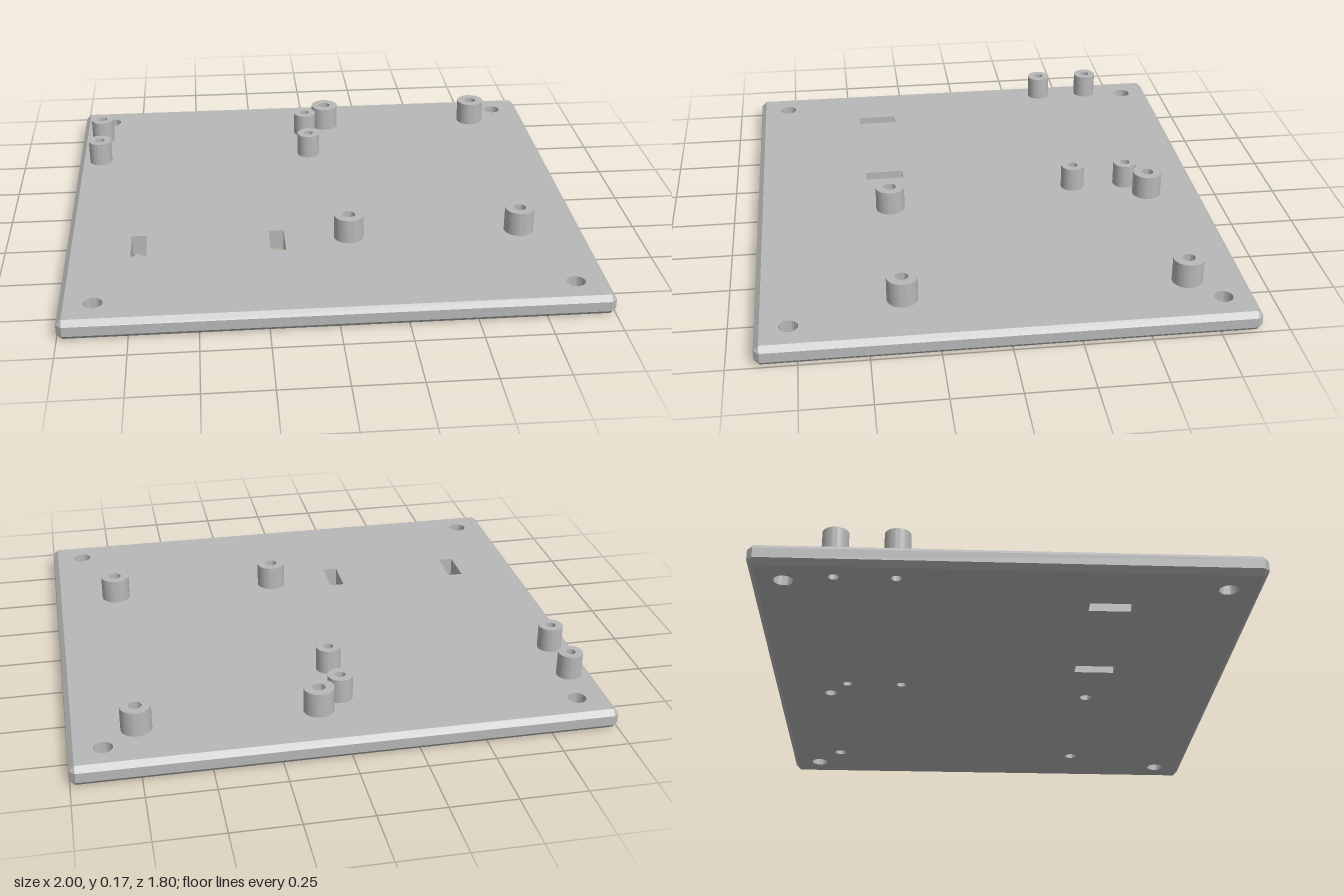
import * as THREE from 'three';
import { toCreasedNormals } from 'three/addons/utils/BufferGeometryUtils.js';

const W = 1, D = 0.9, T = 0.078, C = 0.02, TOP = 0.174, SEG = 48;

// x, z, bore radius, outer radius (0 = plain hole)
const holes = [];
for (const x of [-0.875, 0.875]) for (const z of [-0.783, 0.778]) holes.push([x, z, 0.035, 0]);
for (const x of [0.083, 0.75]) for (const z of [-0.68, 0.37]) holes.push([x, z, 0.024, 0.057]);
for (const x of [-0.907, -0.012]) for (const z of [-0.607, -0.389]) holes.push([x, z, 0.019, 0.047]);

// x0, x1, z0, z1
const slots = [[-0.753, -0.694, 0.3, 0.455], [-0.223, -0.165, 0.3, 0.455]];

// Rectangle loop with cut corners at height y, counter-clockwise from above
function loop(hx, hz, cut, y, cx = 0, cz = 0) {
  const a = hx - cut, b = hz - cut;
  return [[hx, b], [hx, -b], [a, -hz], [-a, -hz], [-hx, -b], [-hx, b], [-a, hz], [a, hz]]
    .map(([x, z]) => new THREE.Vector3(cx + x, y, cz + z));
}

// Flat-faced skin between successive loops
function skin(loops) {
  const pts = [];
  for (let k = 0; k < loops.length - 1; k++) {
    const p = loops[k], q = loops[k + 1];
    for (let i = 0; i < p.length; i++) {
      const j = (i + 1) % p.length;
      for (const [a, b, c] of [[p[i], p[j], q[j]], [p[i], q[j], q[i]]]) {
        if (a.equals(b) || b.equals(c) || a.equals(c)) continue;
        pts.push(a, b, c);
      }
    }
  }
  const g = new THREE.BufferGeometry().setFromPoints(pts);
  g.computeVertexNormals();
  return g;
}

// Plate face with every opening cut; s flips z for the upper side
function face(s) {
  const rect = (x0, x1, y0, y1) => [[x0, y0], [x1, y0], [x1, y1], [x0, y1]].map(([x, y]) => new THREE.Vector2(x, y));
  const shape = new THREE.Shape(rect(C - W, W - C, C - D, D - C));
  for (const [x, z, r] of holes) {
    const circle = Array.from({ length: SEG }, (_, i) => {
      const t = (i / SEG) * Math.PI * 2;
      return new THREE.Vector2(x + r * Math.sin(t), s * (z + r * Math.cos(t)));
    });
    shape.holes.push(new THREE.Path(circle));
  }
  for (const [x0, x1, z0, z1] of slots) shape.holes.push(new THREE.Path(rect(x0, x1, s * z0, s * z1)));
  return new THREE.ShapeGeometry(shape).rotateX(s * Math.PI / 2);
}

export function createModel() {
  const model = new THREE.Group();
  const grey = new THREE.MeshStandardMaterial({ color: 0xb8b8b8 });
  grey.name = 'grey';
  const add = (parent, name, geometry, x = 0, y = 0, z = 0) => {
    const mesh = new THREE.Mesh(geometry, grey);
    mesh.name = name;
    mesh.position.set(x, y, z);
    parent.add(mesh);
  };

  // Chamfered base plate
  const plate = new THREE.Group();
  plate.name = 'basePlate';
  model.add(plate);
  add(plate, 'plateRim', skin([
    loop(W - C, D - C, 0, 0), loop(W, D, C, C), loop(W, D, C, T - C), loop(W - C, D - C, 0, T),
  ]));
  add(plate, 'plateTop', face(-1), 0, T);
  add(plate, 'plateBottom', face(1));
  for (const [x0, x1, z0, z1] of slots) {
    const at = y => loop((x1 - x0) / 2, (z1 - z0) / 2, 0, y, (x0 + x1) / 2, (z0 + z1) / 2);
    add(plate, 'slotWall', skin([at(T), at(0)]));
  }

  // Screw holes and hollow standoffs
  for (const [x, z, r, R] of holes) {
    const profile = R ? [[R, T], [R, TOP], [r, TOP], [r, 0]] : [[r, T], [r, 0]];
    const g = new THREE.LatheGeometry(profile.map(p => new THREE.Vector2(...p)), SEG);
    add(R ? model : plate, R ? 'standoff' : 'screwHoleWall', toCreasedNormals(g, 0.6), x, 0, z);
  }
  return model;
}
